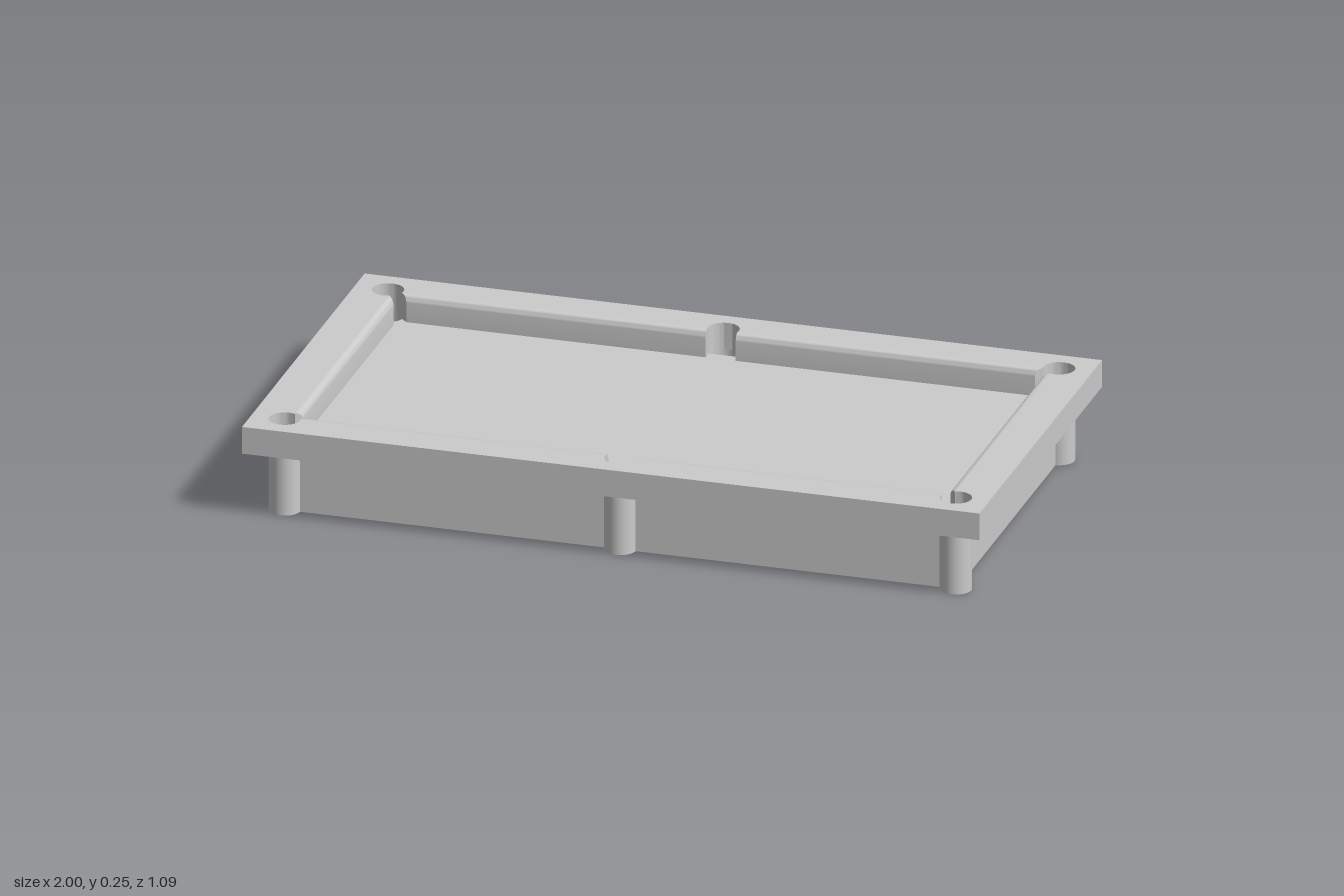
import * as THREE from 'three';
import { toCreasedNormals } from 'three/addons/utils/BufferGeometryUtils.js';

const TOP = 0.255, BED = 0.18;          // rail top, bed height
const PX = 0.91, PZ = 0.457, R = 0.042; // pocket centres and radius
const OX = 0.895, OZ = 0.447;           // half size of the rail opening

export function createModel() {
  const model = new THREE.Group();
  const mat = new THREE.MeshStandardMaterial({ color: 0xcccccc, side: THREE.DoubleSide });
  const add = (geo, name, parent = model) => {
    const mesh = new THREE.Mesh(geo, mat);
    mesh.name = name;
    parent.add(mesh);
    return mesh;
  };

  // Rail frame: rectangle whose opening bulges out into six round pockets
  const frame = new THREE.Shape([[-1, -0.543], [1, -0.543], [1, 0.543], [-1, 0.543]]
    .map(([x, z]) => new THREE.Vector2(x, z)));
  const outline = [];
  const arc = (cx, cz, from, to, flip) => {
    for (let i = 0; i <= 32; i++) {
      const a = from + (to - from) * i / 32;
      outline.push(new THREE.Vector2(flip * (cx + R * Math.cos(a)), flip * (cz + R * Math.sin(a))));
    }
  };
  const low = Math.asin((PZ - OZ) / R), side = Math.acos((PX - OX) / R);
  for (const flip of [1, -1]) {
    arc(PX, PZ, side - Math.PI, Math.PI + low, flip);
    arc(0, PZ, -low, Math.PI + low, flip);
    arc(-PX, PZ, -low, 2 * Math.PI - side, flip);
  }
  frame.holes.push(new THREE.Path(outline));
  const frameGeo = new THREE.ExtrudeGeometry(frame, { depth: TOP - BED, bevelEnabled: false });
  frameGeo.rotateX(-Math.PI / 2).translate(0, BED, 0);
  add(toCreasedNormals(frameGeo, 0.5), 'railFrame');

  // Playing bed with its corners cut round the pockets
  const bed = new THREE.Shape();
  bed.moveTo(PX, R - PZ);
  bed.lineTo(PX, PZ - R);
  bed.absarc(PX, PZ, R, -Math.PI / 2, -Math.PI, true);
  bed.lineTo(R - PX, PZ);
  bed.absarc(-PX, PZ, R, 0, -Math.PI / 2, true);
  bed.lineTo(-PX, R - PZ);
  bed.absarc(-PX, -PZ, R, Math.PI / 2, 0, true);
  bed.lineTo(PX - R, -PZ);
  bed.absarc(PX, -PZ, R, Math.PI, Math.PI / 2, true);
  add(new THREE.ShapeGeometry(bed, 12).rotateX(-Math.PI / 2).translate(0, BED + 0.001, 0), 'playingBed');

  // Cushions: rounded strips with mitred ends at the corner pockets
  const depth = 0.017;
  const profile = new THREE.Shape();
  profile.moveTo(0, BED);
  profile.lineTo(depth, BED);
  profile.lineTo(depth, TOP - 0.025);
  profile.quadraticCurveTo(depth, TOP, 0, TOP);
  const cushion = (length, mitreStart, mitreEnd) => {
    const geo = new THREE.ExtrudeGeometry(profile, { depth: length, bevelEnabled: false, curveSegments: 8 });
    const p = geo.attributes.position;
    for (let i = 0; i < p.count; i++) {
      const start = p.getZ(i) < length / 2;
      if (start && mitreStart) p.setZ(i, p.getX(i));
      if (!start && mitreEnd) p.setZ(i, length - p.getX(i));
    }
    return toCreasedNormals(geo, 0.6);
  };
  const endHalf = PZ - R * Math.sin(side);
  const mouth = R * Math.cos(low), longEnd = PX - mouth;
  for (const turn of [0, Math.PI]) {
    const half = new THREE.Group();
    half.name = turn ? 'cushionsFrontLeft' : 'cushionsBackRight';
    half.rotation.y = turn;
    add(cushion(2 * endHalf, true, true), 'endCushion', half).position.set(-OX, 0, -endHalf);
    for (const s of [1, -1]) {
      const c = add(cushion(longEnd - mouth, s > 0, s < 0), 'longCushion', half);
      c.rotation.y = -Math.PI / 2;
      c.position.set(s > 0 ? longEnd : -mouth, 0, -OZ);
    }
    model.add(half);
  }

  // Hollow pocket legs, open at both ends
  for (const x of [-PX, 0, PX]) for (const z of [-PZ, PZ]) {
    const leg = add(new THREE.CylinderGeometry(R, R, BED, 40, 1, true), 'pocketLeg');
    leg.position.set(x, BED / 2, z);
  }

  // Thin apron walls running between the legs
  const wall = 0.006;
  for (const s of [-1, 1]) {
    add(new THREE.BoxGeometry(wall, BED, 2 * (PZ - R) + 0.004), 'endApron').position.set(s * PX, BED / 2, 0);
    for (const t of [-1, 1]) {
      add(new THREE.BoxGeometry(PX - 2 * R + 0.004, BED, wall), 'longApron').position.set(t * PX / 2, BED / 2, s * PZ);
    }
  }
  return model;
}
